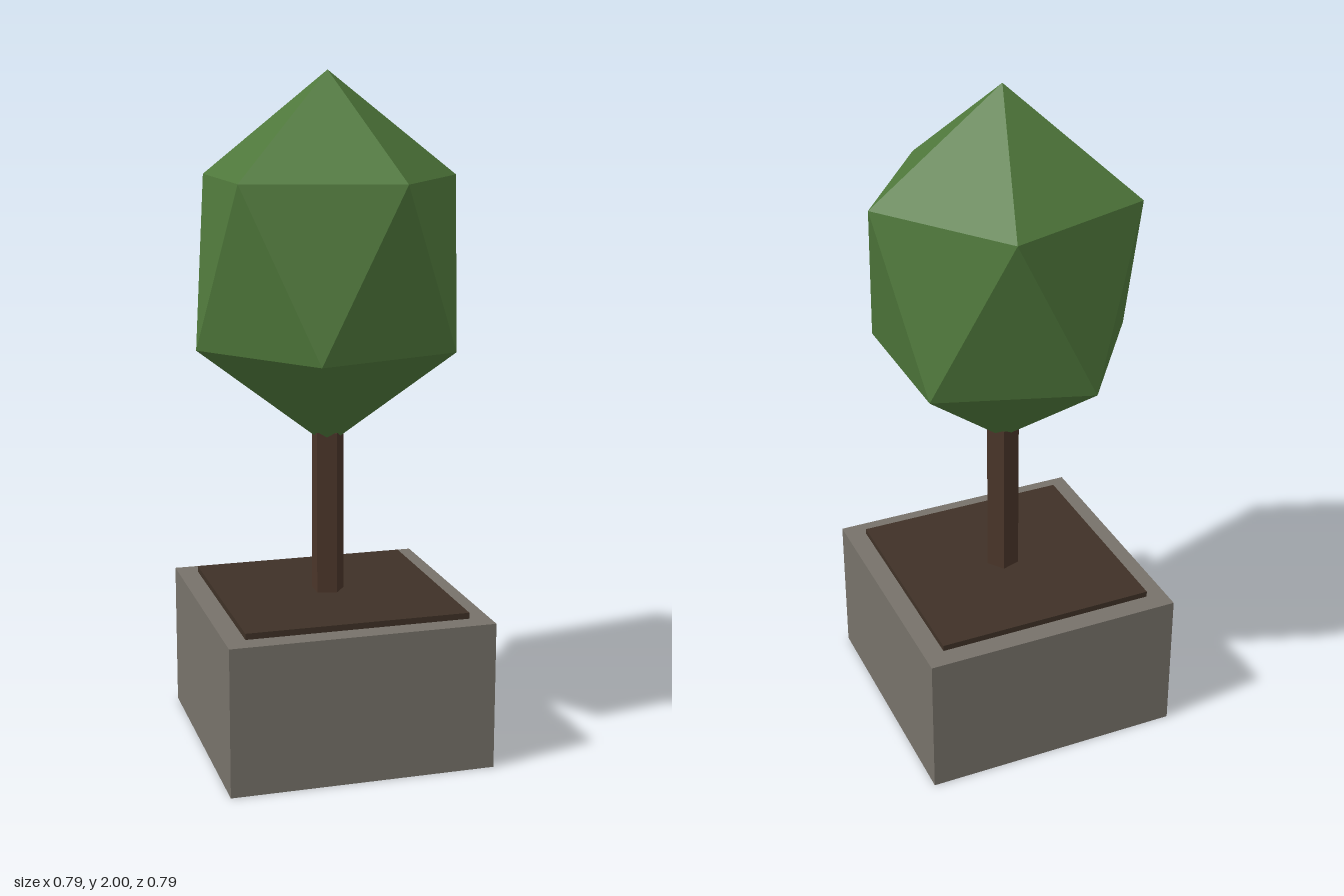
import * as THREE from 'three';

const FOLIAGE = 0x4f783b, TRUNK = 0x4a3529, SOIL = 0x3f3127, STONE = 0x77726a;

function addPart(group, name, geometry, color, y, side = THREE.FrontSide) {
  const material = new THREE.MeshStandardMaterial({ color, flatShading: true, side });
  const mesh = new THREE.Mesh(geometry, material);
  mesh.name = name;
  mesh.position.y = y;
  group.add(mesh);
}

export function createModel() {
  const group = new THREE.Group();
  group.name = 'pottedTree';

  // planter: thin box shell with no floor (the bottom face is left out)
  const planter = new THREE.BoxGeometry(0.787, 0.44, 0.787);
  const faces = Array.from(planter.index.array);
  faces.splice(18, 6);
  planter.setIndex(faces);
  planter.clearGroups();
  addPart(group, 'planter', planter, STONE, 0.22, THREE.DoubleSide);

  // soil: thin slab on top of the planter
  addPart(group, 'soil', new THREE.BoxGeometry(0.666, 0.018, 0.666), SOIL, 0.45);

  // trunk: five-sided post with one corner towards +x
  const trunk = new THREE.CylinderGeometry(0.05, 0.05, 0.5, 5);
  trunk.rotateY(Math.PI / 2);
  addPart(group, 'trunk', trunk, TRUNK, 0.7);

  // foliage: icosahedron stood on a corner and stretched upwards
  const foliage = new THREE.IcosahedronGeometry(0.4395, 0);
  foliage.rotateZ(-Math.atan(2 / (1 + Math.sqrt(5))));
  foliage.scale(1, 1.245, 1);
  addPart(group, 'foliage', foliage, FOLIAGE, 1.453);

  return group;
}
